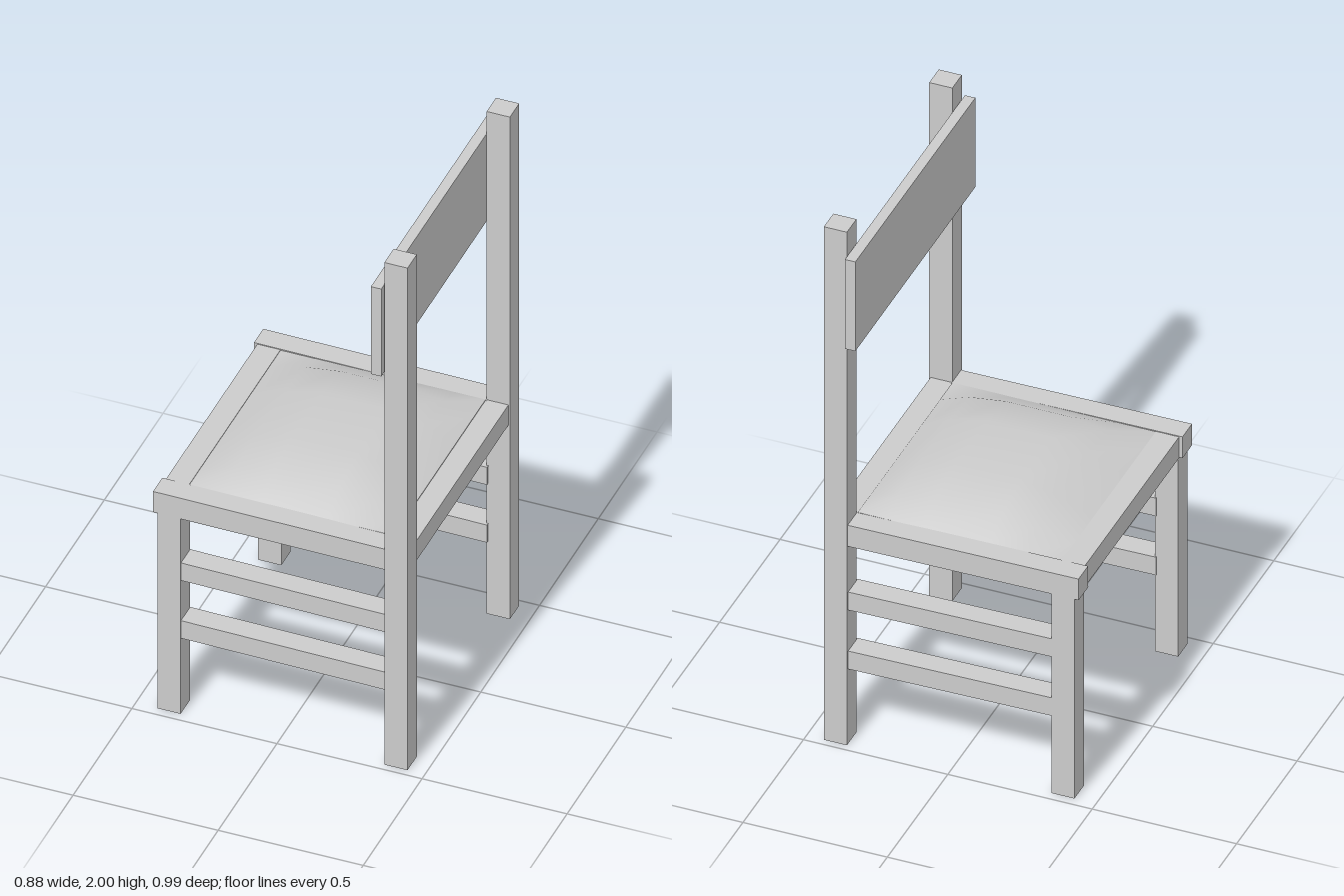
import * as THREE from 'three';

const material = new THREE.MeshStandardMaterial({ color: 0xcccccc });

// Box given by its limits along each axis
function box(name, [x0, x1], [y0, y1], [z0, z1]) {
  const mesh = new THREE.Mesh(new THREE.BoxGeometry(x1 - x0, y1 - y0, z1 - z0), material);
  mesh.position.set((x0 + x1) / 2, (y0 + y1) / 2, (z0 + z1) / 2);
  mesh.name = name;
  return mesh;
}

// Upholstered pad: a thin box whose top swells into a dome
function seatPad() {
  const along = [-0.348, -0.225, -0.1, 0.13, 0.255, 0.358];
  const across = [-0.392, -0.29, -0.13, 0.13, 0.29, 0.392];
  const rise = [0, 0.68, 1, 1, 0.68, 0];
  const geometry = new THREE.BoxGeometry(5, 1, 5, 5, 1, 5);
  const p = geometry.attributes.position;
  for (let i = 0; i < p.count; i++) {
    const a = Math.round(p.getX(i) + 2.5);
    const c = Math.round(p.getZ(i) + 2.5);
    const y = p.getY(i) > 0 ? 0.855 + 0.08 * rise[a] * rise[c] : 0.835;
    p.setXYZ(i, along[a], y, across[c]);
  }
  geometry.computeVertexNormals();
  const mesh = new THREE.Mesh(geometry, material);
  mesh.name = 'seatPad';
  return mesh;
}

export function createModel() {
  const chair = new THREE.Group();
  chair.name = 'chair';

  for (const side of [1, -1]) {
    const span = (inner, outer) => (side > 0 ? [inner, outer] : [-outer, -inner]);
    const label = side > 0 ? 'Left' : 'Right';

    // Legs and tall back posts
    chair.add(box('frontLeg' + label, [-0.425, -0.345], [0, 0.8], span(0.389, 0.468)));
    chair.add(box('backPost' + label, [0.36, 0.44], [0, 2], span(0.396, 0.475)));

    // Side rail of the seat frame
    const rail = box('sideRail' + label, [-0.44, 0.362], [0.775, 0.857], span(0.39, 0.469));
    rail.rotation.z = -0.008;
    chair.add(rail);

    // Two side rungs, dipping slightly toward the back
    for (const y of [0.295, 0.525]) {
      const rung = box('sideRung' + label, [-0.35, 0.365], [y, y + 0.07], span(0.386, 0.465));
      rung.rotation.z = -0.012;
      chair.add(rung);
    }
  }

  // Cross rails of the seat frame
  chair.add(box('frontRail', [-0.428, -0.348], [0.775, 0.857], [-0.392, 0.392]));
  chair.add(box('backRail', [0.355, 0.435], [0.772, 0.852], [-0.397, 0.397]));

  chair.add(seatPad());

  // Backrest board fixed to the front of the posts
  chair.add(box('backrest', [0.322, 0.358], [1.56, 1.908], [-0.496, 0.496]));

  return chair;
}
